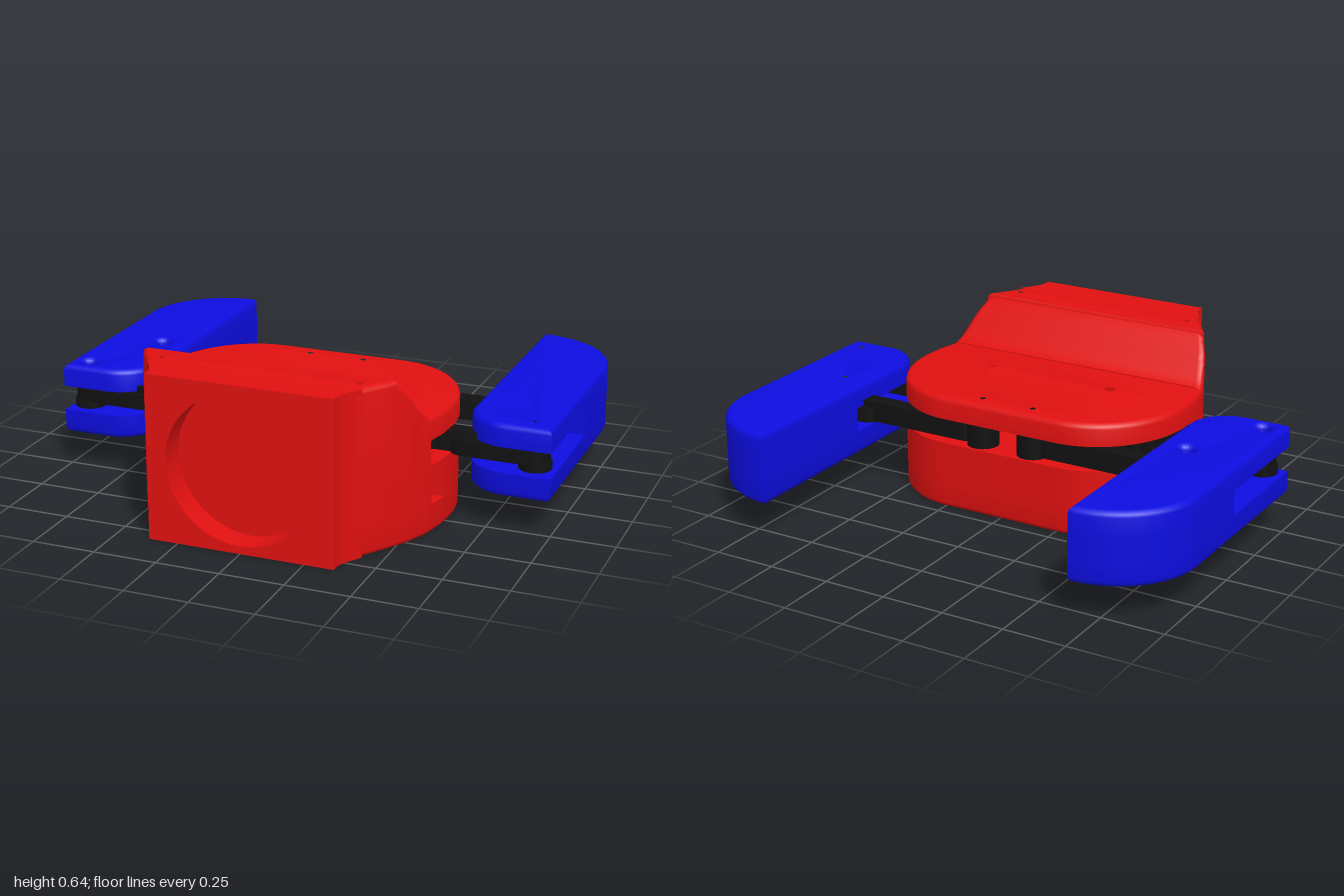
import * as THREE from 'three';
import { toCreasedNormals } from 'three/addons/utils/BufferGeometryUtils.js';

const flat = (name, color) => Object.assign(new THREE.MeshStandardMaterial({ color }), { name });

// Half width of the housing, forward of its widest point
const WIDTHS = [[0.2, 0.6], [0.3, 0.595], [0.4, 0.575], [0.5, 0.535], [0.6, 0.475],
  [0.7, 0.41], [0.75, 0.378], [0.78, 0.367], [0.83, 0.365]];
function halfWidth(z) {
  let i = 0;
  while (i < WIDTHS.length - 2 && z > WIDTHS[i + 1][0]) i++;
  const [z0, w0] = WIDTHS[i], [z1, w1] = WIDTHS[i + 1];
  return w0 + (w1 - w0) * (z - z0) / (z1 - z0);
}
// Same, with two pockets in each flank
const pocketWidth = z => halfWidth(z) -
  ((z > 0.295 && z < 0.375) ? 0.09 : 0);

// Plan shapes use (x, -z)
function shapeOf(points, holes = []) {
  const shape = new THREE.Shape(points.map(([x, z]) => new THREE.Vector2(x, -z)));
  for (const [x, z, r] of holes) shape.holes.push(new THREE.Path().absarc(x, -z, r, 0, Math.PI * 2, true));
  return shape;
}
function housingOutline(zEnd, width = halfWidth) {
  const side = [];
  for (let i = 0; i <= 24; i++) {
    const a = Math.PI / 2 * (1 - i / 24);
    side.push([0.25 + 0.35 * Math.cos(a), 0.2 - 0.4 * Math.sin(a)]);
  }
  for (let z = 0.21; z < zEnd - 0.001; z += 0.01) side.push([width(z), z]);
  side.push([width(zEnd), zEnd]);
  return [...side, ...side.slice().reverse().map(([x, z]) => [-x, z])];
}

// Horizontal plate from y0 to y1, rounded at its top and/or bottom edge
function plate(shape, y0, y1, { top = 0, bottom = 0 } = {}) {
  const r = Math.max(top, bottom);
  const start = bottom ? y0 : y0 - r, end = top ? y1 : y1 + r;
  const g = new THREE.ExtrudeGeometry(shape, {
    depth: end - start - 2 * r, bevelEnabled: r > 0, bevelThickness: r, bevelSize: r,
    bevelOffset: -r, bevelSegments: 3, curveSegments: 20 });
  g.translate(0, 0, start + r);
  const p = g.attributes.position;
  for (let i = 0; i < p.count; i++) p.setZ(i, Math.min(y1, Math.max(y0, p.getZ(i))));
  g.rotateX(-Math.PI / 2);
  g.computeVertexNormals();
  return toCreasedNormals(g, 0.6);
}

// Sloping rise between the low deck and the high front block
function riseGeometry() {
  const pos = [], idx = [], n = 14, rows = 20, r = 0.03;
  for (let j = 0; j <= rows; j++) {
    const z = 0.39 + 0.187 * j / rows, w = halfWidth(z);
    const h = 0.46 + 0.185 * THREE.MathUtils.smoothstep(z, 0.37, 0.59);
    const right = [[w, 0.2]];
    for (let k = 0; k < 6; k++) {
      const a = Math.PI / 2 * k / 5;
      right.push([w - r + r * Math.cos(a), h - r + r * Math.sin(a)]);
    }
    for (const [x, y] of [...right, ...right.slice().reverse().map(([x, y]) => [-x, y])]) pos.push(x, y, z);
  }
  for (let j = 0; j < rows; j++) for (let k = 0; k < n; k++) {
    const a = j * n + k, b = j * n + (k + 1) % n;
    idx.push(a, b + n, b, a, a + n, b + n);
  }
  for (let k = 1; k < n - 1; k++) {
    idx.push(0, k + 1, k);
    idx.push(rows * n, rows * n + k, rows * n + k + 1);
  }
  // ring runs counter-clockwise seen from the front, so flip the wall faces
  for (let i = 0; i < rows * n * 6; i += 3) [idx[i + 1], idx[i + 2]] = [idx[i + 2], idx[i + 1]];
  const g = new THREE.BufferGeometry();
  g.setAttribute('position', new THREE.Float32BufferAttribute(pos, 3));
  g.setIndex(idx);
  return toCreasedNormals(g, 0.6);
}

// Front block with a round socket, its flanks following the housing
function socketGeometry() {
  const shape = new THREE.Shape([[-0.365, 0], [0.365, 0], [0.365, 0.645], [-0.365, 0.645]]
    .map(p => new THREE.Vector2(...p)));
  shape.holes.push(new THREE.Path().absarc(0, 0.32, 0.29, 0, Math.PI * 2, true));
  const g = new THREE.ExtrudeGeometry(shape, { depth: 0.135, steps: 9, bevelEnabled: false, curveSegments: 32 });
  g.translate(0, 0, 0.685);
  const p = g.attributes.position;
  for (let i = 0; i < p.count; i++) {
    const x = p.getX(i);
    if (Math.abs(x) > 0.3) p.setX(i, Math.sign(x) * halfWidth(p.getZ(i)));
  }
  g.computeVertexNormals();
  return toCreasedNormals(g, 0.6);
}

function gearOutline(cx, cz, phase) {
  const pts = [], teeth = 26;
  for (let i = 0; i < teeth; i++) {
    [[0, 0.25], [0.3, 0.25], [0.45, 0.283], [0.7, 0.283]].forEach(([t, r]) => {
      const a = (i + t + phase) / teeth * Math.PI * 2;
      pts.push([cx + r * Math.cos(a), cz + r * Math.sin(a)]);
    });
  }
  return pts;
}

function fingerOutline(s, zCut) {
  const pts = [];
  for (let i = 0; i <= 24; i++) {
    const a = Math.PI / 2 * (1 - i / 24);
    pts.push([0.655 + 0.345 * Math.cos(a), -0.495 - 0.33 * Math.sin(a)]);
  }
  if (zCut !== undefined) pts.push([1, zCut], [0.655, zCut]);
  else {
    pts.push([1, 0.285]);
    for (let i = 0; i <= 12; i++) {
      const a = Math.PI / 2 * i / 12;
      pts.push([0.82 - 0.165 * Math.sin(a), 0.12 + 0.165 * Math.cos(a)]);
    }
  }
  return pts.map(([x, z]) => [s * x, z]);
}

// Straight bar with round ends along x
function barOutline(x0, x1, z, r) {
  const pts = [];
  for (let i = 0; i <= 12; i++) {
    const a = -Math.PI / 2 + Math.PI * i / 12;
    pts.push([x1 + r * Math.cos(a), z + r * Math.sin(a)]);
  }
  for (let i = 0; i <= 12; i++) {
    const a = Math.PI / 2 + Math.PI * i / 12;
    pts.push([x0 + r * Math.cos(a), z + r * Math.sin(a)]);
  }
  return pts;
}

export function createModel() {
  const red = flat('red plastic', 0xe01010), blue = flat('blue plastic', 0x0d0de0), black = flat('black plastic', 0x111111);
  const model = new THREE.Group();
  model.name = 'gripper';
  const add = (parent, name, geometry, material) => {
    const mesh = new THREE.Mesh(geometry, material);
    mesh.name = name;
    parent.add(mesh);
    return mesh;
  };
  const group = name => {
    const g = new THREE.Group();
    g.name = name;
    model.add(g);
    return g;
  };

  // Housing
  const housing = group('housing');
  const R = 0.033;
  const screws = [[0.388, 0.63, R], [-0.388, 0.63, R]];
  const rearPivots = [[0.112, -0.13, R], [-0.112, -0.13, R]];
  const baseShape = width => {
    const s = shapeOf(housingOutline(0.71, width), [...screws, ...rearPivots]);
    s.holes.push(new THREE.Path([[-0.42, 0.02], [-0.42, 0.38], [0.42, 0.38], [0.42, 0.02]]
      .map(([x, z]) => new THREE.Vector2(x, -z))));
    return s;
  };
  add(housing, 'baseBottom', plate(baseShape(), 0, 0.115, { bottom: 0.018 }), red);
  add(housing, 'basePockets', plate(baseShape(pocketWidth), 0.115, 0.175), red);
  add(housing, 'baseTop', plate(baseShape(), 0.175, 0.21), red);
  add(housing, 'cavityRoof', plate(shapeOf(housingOutline(0.71),
    [...screws, ...rearPivots, [0.275, 0.21, R], [-0.265, 0.21, 0.11]]), 0.21, 0.27), red);
  add(housing, 'deck', plate(shapeOf(housingOutline(0.45),
    [...rearPivots, [0.275, 0.21, R], [-0.265, 0.21, 0.045]]), 0.37, 0.46, { top: 0.022 }), red);
  add(housing, 'rise', riseGeometry(), red);
  const shoulder = [];
  for (let i = 0; i <= 16; i++) shoulder.push([halfWidth(0.55 + 0.01 * i), 0.55 + 0.01 * i]);
  add(housing, 'shoulder', plate(shapeOf([...shoulder, ...shoulder.slice().reverse().map(([x, z]) => [-x, z])],
    screws), 0.2, 0.645, { top: 0.02 }), red);
  add(housing, 'socketBlock', socketGeometry(), red);
  const floor = add(housing, 'socketFloor', new THREE.CylinderGeometry(0.295, 0.295, 0.006, 64), red);
  floor.rotation.x = Math.PI / 2;
  floor.position.set(0, 0.32, 0.711);

  // Fingers and linkage on both sides
  for (const s of [1, -1]) {
    const side = s > 0 ? 'left' : 'right';
    const finger = group(side + 'Finger');
    const pins = [[s * 0.768, -0.13, R], [s * 0.922, 0.21, R]];
    add(finger, 'upperTine', plate(shapeOf(fingerOutline(s), pins), 0.34, 0.43, { top: 0.022 }), blue);
    add(finger, 'lowerTine', plate(shapeOf(fingerOutline(s), pins), 0.145, 0.24, { bottom: 0.022 }), blue);
    add(finger, 'core', plate(shapeOf(fingerOutline(s, -0.21)), 0.24, 0.34), blue);

    const linkage = group(side + 'Linkage');
    for (const [name, xIn, xOut, z] of [['rearLink', 0.112, 0.768, -0.13], ['frontLink', 0.275, 0.922, 0.21]]) {
      const inner = [s * xIn, z, R], outer = [s * xOut, z, R];
      const bar = (a, b, r) => barOutline(Math.min(s * a, s * b), Math.max(s * a, s * b), z, r);
      add(linkage, name + 'Bar', plate(shapeOf(bar(xIn + 0.08, 0.68, 0.035)), 0.28, 0.362), black);
      add(linkage, name + 'Tip', plate(shapeOf(bar(0.65, xOut, 0.055), [outer]), 0.275, 0.335), black);
      add(linkage, name + 'OuterHub', plate(shapeOf(bar(xOut, xOut, 0.063), [outer]), 0.25, 0.28), black);
      add(linkage, name + 'InnerHub', plate(shapeOf(bar(xIn, xIn, 0.063), [inner]), 0.272, 0.365), black);
    }
    add(linkage, 'gear', plate(shapeOf(gearOutline(s * 0.27, 0.21, s > 0 ? 0 : 0.5),
      [[s * 0.27, 0.21, R]]), 0.285, 0.36), black);
  }
  return model;
}
